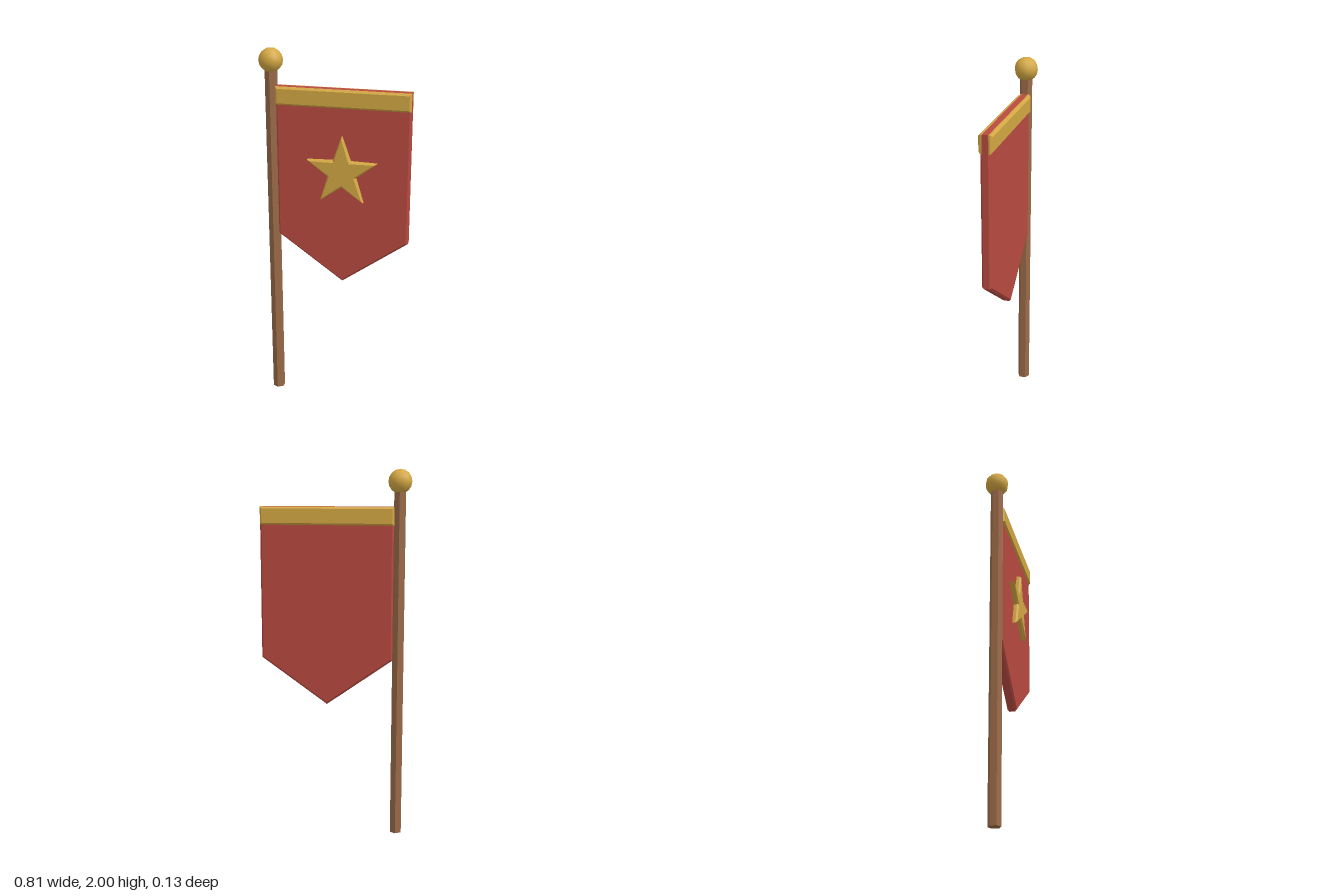
import * as THREE from 'three';

const wood = new THREE.MeshStandardMaterial({ name: 'wood', color: 0x9b6a48, flatShading: true });
const red = new THREE.MeshStandardMaterial({ name: 'red cloth', color: 0xb84a40 });
const gold = new THREE.MeshStandardMaterial({ name: 'gold', color: 0xd4a843 });

const BEVEL = 0.01;
const POLE_X = -0.343;

// Chamfered plate whose full outline matches the points, spanning z0 to z1
function plate(points, z0, z1) {
  const shape = new THREE.Shape(points.map(([x, y]) => new THREE.Vector2(x, y)));
  const geometry = new THREE.ExtrudeGeometry(shape, {
    depth: z1 - z0 - 2 * BEVEL,
    bevelEnabled: true,
    bevelThickness: BEVEL,
    bevelSize: BEVEL,
    bevelOffset: -BEVEL,
    bevelSegments: 1,
  });
  return geometry.translate(0, 0, z0 + BEVEL);
}

export function createModel() {
  const model = new THREE.Group();
  model.name = 'bannerOnPole';

  const add = (name, geometry, material, x = 0, y = 0, z = 0) => {
    const mesh = new THREE.Mesh(geometry, material);
    mesh.name = name;
    mesh.position.set(x, y, z);
    model.add(mesh);
  };

  // Six-sided pole and its round knob
  add('pole', new THREE.CylinderGeometry(0.034, 0.034, 1.9, 6), wood, POLE_X, 0.95);
  const knob = new THREE.SphereGeometry(0.064, 10, 8).rotateY(Math.PI / 2);
  add('knob', knob, gold, POLE_X, 1.936);

  // Pointed cloth, just proud of the band along its top and outer edge
  add('cloth', plate([
    [-0.315, 1.805], [-0.315, 0.985], [0.043, 0.73], [0.402, 0.985], [0.402, 1.805],
  ], -0.026, 0.026), red);

  // Band wrapped round the top of the cloth
  add('topBand', plate([
    [-0.316, 1.804], [-0.316, 1.708], [0.401, 1.708], [0.401, 1.804],
  ], -0.036, 0.036), gold);

  // Five-pointed star on the front
  const star = [];
  for (let i = 0; i < 10; i++) {
    const r = i % 2 ? 0.08 : 0.198;
    const a = Math.PI / 2 + (i * Math.PI) / 5;
    star.push([r * Math.cos(a), r * Math.sin(a)]);
  }
  add('star', plate(star, 0.016, 0.054), gold, 0.043, 1.366);

  return model;
}
